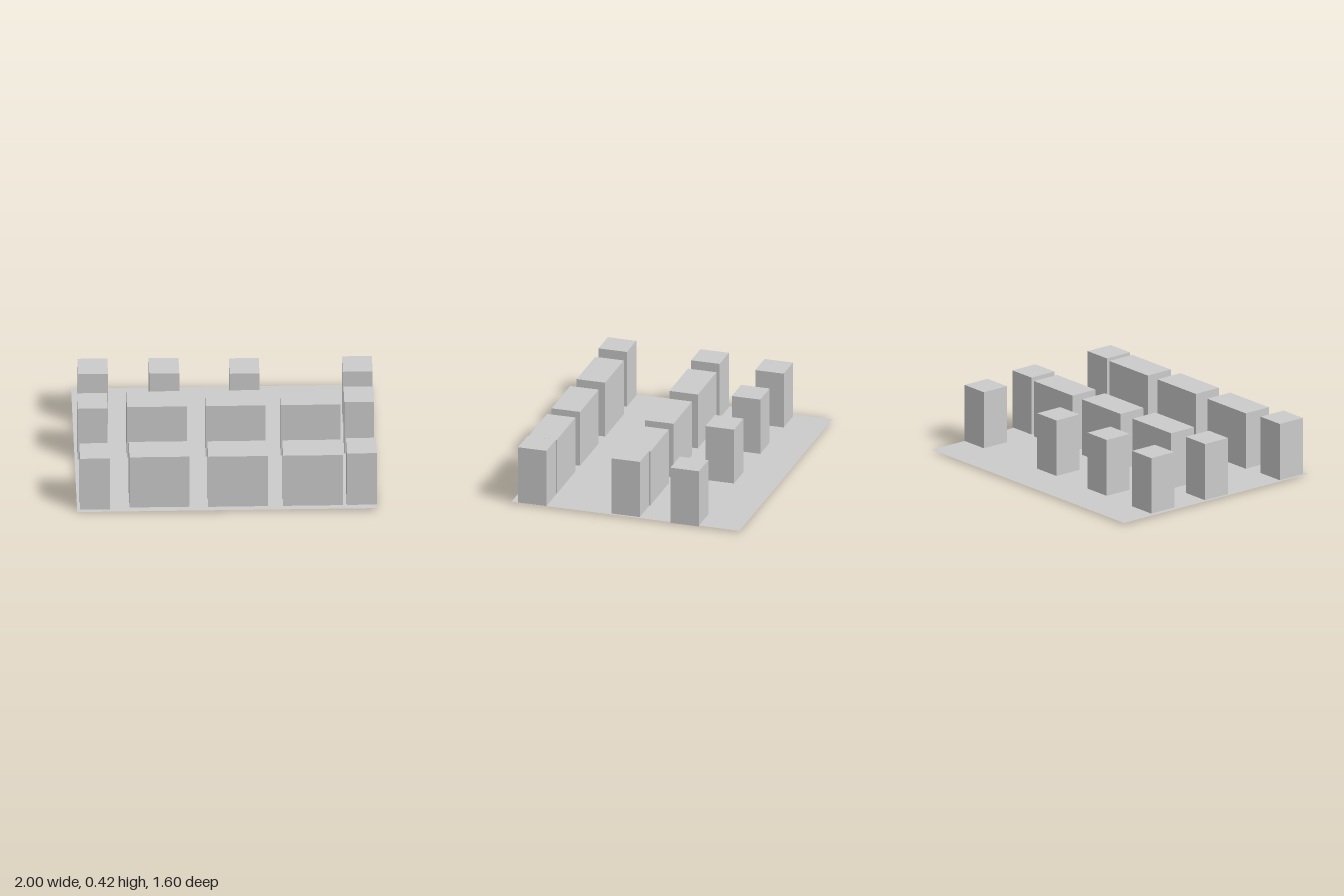
import * as THREE from 'three';

const GROUND_Y = 0.01;
const BLOCK_HEIGHT = 0.4;
const BLOCK_DEPTH = 0.2;

// Each block: [centre x, centre z, base y]
const TOWERS = [
  // back row
  [-0.865, -0.435, 0], [-0.39, -0.425, 0.003], [0.145, -0.415, 0], [0.9, -0.415, 0.004],
  // middle row ends
  [-0.88, 0.02, 0.005], [0.9, 0, 0.017],
  // front row ends
  [-0.88, 0.67, 0.006], [0.9, 0.655, 0.011],
];
const WIDE_BLOCKS = [
  // middle row
  [-0.45, 0, 0], [0.075, 0, 0], [0.575, 0, 0],
  // front row
  [-0.45, 0.65, 0], [0.075, 0.655, 0], [0.575, 0.655, 0],
];

export function createModel() {
  const model = new THREE.Group();
  model.name = 'buildingBlocks';
  const grey = new THREE.MeshStandardMaterial({ color: 0xcccccc, flatShading: true });

  // Thin ground sheet, pierced by the blocks
  const sheet = grey.clone();
  sheet.side = THREE.DoubleSide;
  const ground = new THREE.Mesh(new THREE.PlaneGeometry(2, 1.6).rotateX(-Math.PI / 2), sheet);
  ground.name = 'ground';
  ground.position.y = GROUND_Y;
  model.add(ground);

  const addBlocks = (name, width, places) => {
    const geometry = new THREE.BoxGeometry(width, BLOCK_HEIGHT, BLOCK_DEPTH);
    places.forEach(([x, z, base], i) => {
      const block = new THREE.Mesh(geometry, grey);
      block.name = name + (i + 1);
      block.position.set(x, base + BLOCK_HEIGHT / 2, z);
      model.add(block);
    });
  };

  // Square towers and long buildings
  addBlocks('tower', 0.2, TOWERS);
  addBlocks('longBuilding', 0.4, WIDE_BLOCKS);
  return model;
}
